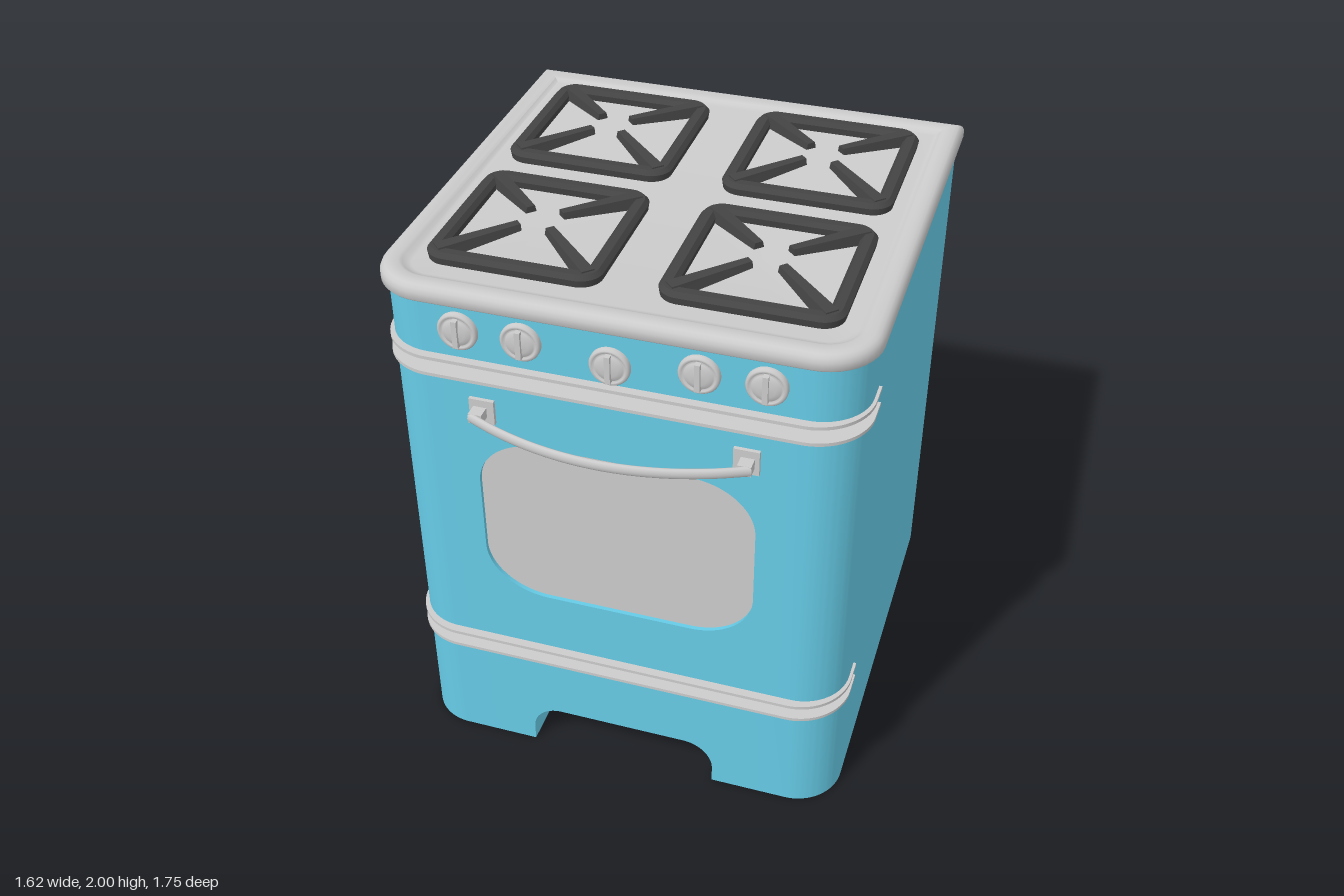
import * as THREE from 'three';
import { toCreasedNormals } from 'three/addons/utils/BufferGeometryUtils.js';

const enamel = new THREE.MeshStandardMaterial({ color: 0x66cbe6 });
const metal = new THREE.MeshStandardMaterial({ color: 0xcccccc });
const iron = new THREE.MeshStandardMaterial({ color: 0x444444 });

const BACK = -0.855, STEP = 0.46, FRONT = 0.7, HALF = 0.79, R = 0.17;

function add(parent, name, geometry, material, x = 0, y = 0, z = 0) {
  const mesh = new THREE.Mesh(geometry, material);
  mesh.name = name;
  mesh.position.set(x, y, z);
  parent.add(mesh);
  return mesh;
}

// Rounded outline in plan, corners running from front left round to back left
function outline(w, z0, z1, rFront, rBack, inset) {
  const points = [], n = 10;
  const corners = [[1, 1, rFront], [-1, 1, rFront], [-1, -1, rBack], [1, -1, rBack]];
  corners.forEach(([sx, sz, radius], k) => {
    const r = Math.max(radius - inset, 0);
    const cx = sx * (w - inset - r);
    const cz = sz > 0 ? z1 - inset - r : z0 + inset + r;
    for (let i = 0; i <= n; i++) {
      const a = (k + i / n) * Math.PI / 2;
      points.push([cx + r * Math.cos(a), cz + r * Math.sin(a)]);
    }
  });
  return points;
}

// Sweeps an [inset, y] profile round an outline, optionally closing the middle
function loft(profile, w, z0, z1, rFront, rBack, capped) {
  const rings = profile.map(([d, y]) => outline(w, z0, z1, rFront, rBack, d).map(([x, z]) => [x, y, z]));
  if (capped) rings.push(rings.at(-1).map(([, y]) => [0, y, (z0 + z1) / 2]));
  const n = rings[0].length, index = [];
  for (let i = 0; i < rings.length - 1; i++) {
    for (let j = 0; j < n; j++) {
      const a = i * n + j, b = i * n + (j + 1) % n;
      index.push(a, a + n, b, b, a + n, b + n);
    }
  }
  const g = new THREE.BufferGeometry();
  g.setAttribute('position', new THREE.Float32BufferAttribute(rings.flat(2), 3));
  g.setIndex(index);
  return toCreasedNormals(g, 0.7);
}

// Extrudes a plan shape (x, z) from y0 up to y1
function planExtrude(shape, y0, y1) {
  const g = new THREE.ExtrudeGeometry(shape, { depth: y1 - y0, bevelEnabled: false, curveSegments: 16 });
  g.rotateX(Math.PI / 2).translate(0, y1, 0);
  return toCreasedNormals(g, 0.5);
}

// One layer of the front: flat panel (maybe cut) between two rounded corners
function frontSection(parent, name, y0, y1, c, panel) {
  const depth = FRONT - STEP;
  const g = new THREE.ExtrudeGeometry(panel, { depth, bevelEnabled: false, curveSegments: 16 });
  add(parent, name + 'Panel', toCreasedNormals(g, 0.5), enamel, 0, 0, STEP);
  for (const s of [1, -1]) {
    const corner = new THREE.Shape();
    corner.moveTo(s * c, STEP).lineTo(s * HALF, STEP).lineTo(s * HALF, FRONT - R);
    corner.absarc(s * (HALF - R), FRONT - R, R, s > 0 ? 0 : Math.PI, Math.PI / 2, s < 0);
    corner.lineTo(s * c, FRONT);
    add(parent, name + 'Corner', planExtrude(corner, y0, y1), enamel);
  }
}

function rectangle(c, y0, y1) {
  return new THREE.Shape().moveTo(-c, y0).lineTo(c, y0).lineTo(c, y1).lineTo(-c, y1);
}

// Window outline with wide oval corners
function windowShape(Type) {
  const s = new Type(), w = 0.475, y0 = 0.745, y1 = 1.405, rx = 0.22, ry = 0.19;
  s.moveTo(w, y0 + ry);
  s.absellipse(w - rx, y1 - ry, rx, ry, 0, Math.PI / 2);
  s.absellipse(-w + rx, y1 - ry, rx, ry, Math.PI / 2, Math.PI);
  s.absellipse(-w + rx, y0 + ry, rx, ry, Math.PI, Math.PI * 1.5);
  s.absellipse(w - rx, y0 + ry, rx, ry, Math.PI * 1.5, Math.PI * 2);
  return s;
}

function buildBody(root) {
  const body = new THREE.Group();
  body.name = 'body';
  root.add(body);
  add(body, 'cabinet', new THREE.BoxGeometry(HALF * 2, 1.91, STEP - BACK), enamel, 0, 0.955, (STEP + BACK) / 2);

  // Plinth with arched toe opening
  const plinth = new THREE.Shape();
  plinth.moveTo(0.345, 0).lineTo(0.45, 0).lineTo(0.45, 0.445).lineTo(-0.45, 0.445).lineTo(-0.45, 0).lineTo(-0.345, 0);
  plinth.lineTo(-0.345, 0.065).absarc(-0.235, 0.065, 0.11, Math.PI, Math.PI / 2, true);
  plinth.absarc(0.235, 0.065, 0.11, Math.PI / 2, 0, true);
  frontSection(body, 'plinth', 0, 0.445, 0.45, plinth);

  // Oven door with a recessed pane
  const door = rectangle(0.55, 0.505, 1.645);
  door.holes.push(windowShape(THREE.Path));
  frontSection(body, 'door', 0.505, 1.645, 0.55, door);
  add(body, 'windowPane', new THREE.ShapeGeometry(windowShape(THREE.Shape), 16), metal, 0, 0, 0.685);

  frontSection(body, 'controls', 1.71, 1.91, 0.55, rectangle(0.55, 1.71, 1.91));

  // Thin trim plates lining the two open slots
  const w = 0.8, z1 = 0.73, r = 0.19;
  const plate = new THREE.Shape();
  plate.moveTo(-w, STEP).lineTo(w, STEP).lineTo(w, z1 - r);
  plate.absarc(w - r, z1 - r, r, 0, Math.PI / 2).absarc(-w + r, z1 - r, r, Math.PI / 2, Math.PI);
  for (const y of [0.439, 0.497, 1.639, 1.7]) add(body, 'trimPlate', planExtrude(plate, y, y + 0.012), metal);
}

function buildCooktop(root) {
  const profile = [[0.05, 1.907], [0.004, 1.907], [0, 1.912], [0, 1.938], [0.006, 1.952], [0.016, 1.961],
    [0.03, 1.965], [0.06, 1.965], [0.072, 1.96], [0.085, 1.95], [0.1, 1.948]];
  add(root, 'cooktop', loft(profile, 0.81, -0.875, 0.72, 0.18, 0, true), metal);

  // Pan supports: rounded square ring with four tapered spokes
  const h = 0.295;
  const ring = loft([[0.004, 1.945], [0, 1.972], [0.014, 1.987], [0.042, 1.987], [0.055, 1.972], [0.051, 1.945]],
    h, -h, h, 0.075, 0.075, false);
  const spoke = new THREE.BoxGeometry(1, 1, 1);
  const p = spoke.attributes.position;
  for (let i = 0; i < p.count; i++) {
    const inner = p.getZ(i) < 0, top = p.getY(i) > 0;
    const half = (inner ? 0.019 : 0.029) * (top ? 0.75 : 1);
    p.setXYZ(i, Math.sign(p.getX(i)) * half, inner ? (top ? 2 : 1.978) : (top ? 1.992 : 1.95), inner ? 0.075 : 0.36);
  }
  spoke.computeVertexNormals();
  for (const x of [-0.385, 0.385]) for (const z of [-0.44, 0.265]) {
    const grate = new THREE.Group();
    grate.name = 'grate';
    grate.position.set(x, 0, z);
    root.add(grate);
    add(grate, 'grateRing', ring, iron);
    for (let k = 0; k < 4; k++) add(grate, 'grateSpoke', spoke, iron).rotation.y = (k + 0.5) * Math.PI / 2;
  }
}

function buildKnobs(root) {
  const points = [[0.067, 0], [0.067, 0.012], [0.062, 0.019], [0.054, 0.019], [0.05, 0.013], [0.046, 0.018], [0.03, 0.023], [0, 0.025]];
  const dial = new THREE.LatheGeometry(points.map(([x, y]) => new THREE.Vector2(x, y)), 32);
  dial.rotateX(Math.PI / 2);
  for (const [x, y] of [[-0.5, 1.815], [-0.29, 1.815], [0, 1.785], [0.285, 1.815], [0.495, 1.815]]) {
    const knob = new THREE.Group();
    knob.name = 'knob';
    knob.position.set(x, y, FRONT);
    root.add(knob);
    add(knob, 'dial', dial, metal);
    add(knob, 'grip', new THREE.BoxGeometry(0.018, 0.098, 0.034), metal, 0, 0, 0.017);
  }
}

function buildHandle(root) {
  const handle = new THREE.Group();
  handle.name = 'handle';
  handle.position.set(0, 1.52, 0);
  root.add(handle);
  for (const s of [1, -1]) {
    add(handle, 'mountPlate', new THREE.BoxGeometry(0.085, 0.09, 0.015), metal, s * 0.44, 0, FRONT + 0.006);
    add(handle, 'bracket', new THREE.BoxGeometry(0.045, 0.036, 0.05), metal, s * 0.445, 0, 0.733);
  }
  // Bowed bar, taller than it is thick
  const path = new THREE.CatmullRomCurve3([-0.465, -0.36, -0.24, -0.12, 0, 0.12, 0.24, 0.36, 0.465].map(
    x => new THREE.Vector3(x, 0, 0.863 - 0.112 * (x / 0.465) ** 2)));
  add(handle, 'bar', new THREE.TubeGeometry(path, 40, 0.011, 12), metal).scale.y = 1.7;
}

export function createModel() {
  const root = new THREE.Group();
  root.name = 'stove';
  buildBody(root);
  buildCooktop(root);
  buildKnobs(root);
  buildHandle(root);
  return root;
}
